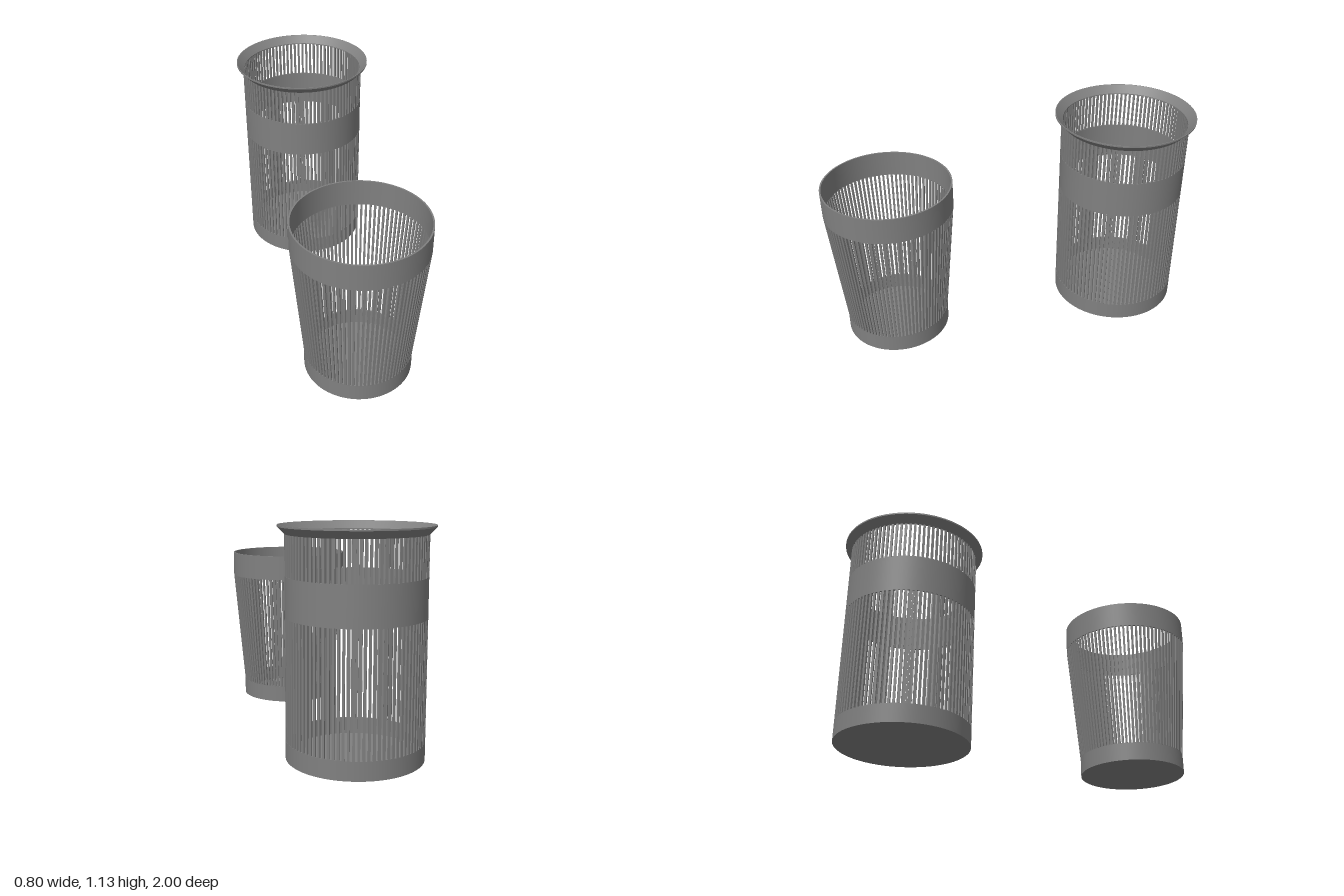
import * as THREE from 'three';
import { mergeGeometries } from 'three/addons/utils/BufferGeometryUtils.js';

const SEGMENTS = 90;
const BARS = 90;
const WALL = 0.008;
const material = new THREE.MeshStandardMaterial({ color: 0x808080, side: THREE.DoubleSide });

function addMesh(group, name, geometry) {
  const mesh = new THREE.Mesh(geometry, material);
  mesh.name = name;
  group.add(mesh);
}

// Revolve a profile; each straight run is separate so its corners stay sharp
function revolve(points) {
  const runs = [];
  for (let i = 0; i < points.length - 1; i++) {
    const run = [points[i], points[i + 1]].map(([r, y]) => new THREE.Vector2(r, y));
    runs.push(new THREE.LatheGeometry(run, SEGMENTS));
  }
  return mergeGeometries(runs);
}

// Closed thin cylindrical ring
function band(r, y0, y1) {
  const ri = r - WALL;
  return revolve([[ri, y0], [r, y0], [r, y1], [ri, y1], [ri, y0]]);
}

// Ring of flat bars running from (r0, y0) to (r1, y1)
function barRing(r0, y0, r1, y1, width) {
  const length = Math.hypot(r1 - r0, y1 - y0);
  const tilt = Math.atan2(r1 - r0, y1 - y0);
  const bars = [];
  for (let i = 0; i < BARS; i++) {
    const bar = new THREE.BoxGeometry(width, length, WALL);
    bar.rotateX(tilt);
    bar.translate(0, (y0 + y1) / 2, (r0 + r1) / 2 - WALL / 2);
    bar.rotateY((i / BARS) * Math.PI * 2);
    bars.push(bar);
  }
  return mergeGeometries(bars);
}

// Solid-walled base: floor disc with an upright rim
function base(r, height) {
  const ri = r - WALL;
  return revolve([[0, 0], [r, 0], [r, height], [ri, height], [ri, WALL], [0, WALL]]);
}

export function createModel() {
  const model = new THREE.Group();

  // Tall straight bin with a middle band and flared lip
  const tall = new THREE.Group();
  tall.name = 'tallBin';
  tall.position.set(0.024, 0, -0.627);
  addMesh(tall, 'tallBase', base(0.339, 0.094));
  addMesh(tall, 'tallMiddleBand', band(0.339, 0.695, 0.89));
  addMesh(tall, 'tallLowerBars', barRing(0.339, 0.094, 0.339, 0.695, 0.012));
  addMesh(tall, 'tallUpperBars', barRing(0.339, 0.89, 0.339, 1.087, 0.012));
  addMesh(tall, 'tallFlaredLip', revolve([
    [0.331, 1.085], [0.339, 1.085], [0.373, 1.12], [0.373, 1.128], [0.369, 1.128], [0.331, 1.09], [0.331, 1.085],
  ]));
  model.add(tall);

  // Short tapered bin with a wide top band
  const short = new THREE.Group();
  short.name = 'shortBin';
  short.position.set(-0.06, 0, 0.661);
  addMesh(short, 'shortBase', base(0.279, 0.094));
  addMesh(short, 'shortTopBand', band(0.339, 0.751, 0.89));
  addMesh(short, 'shortBars', barRing(0.279, 0.092, 0.339, 0.753, 0.011));
  model.add(short);

  return model;
}
